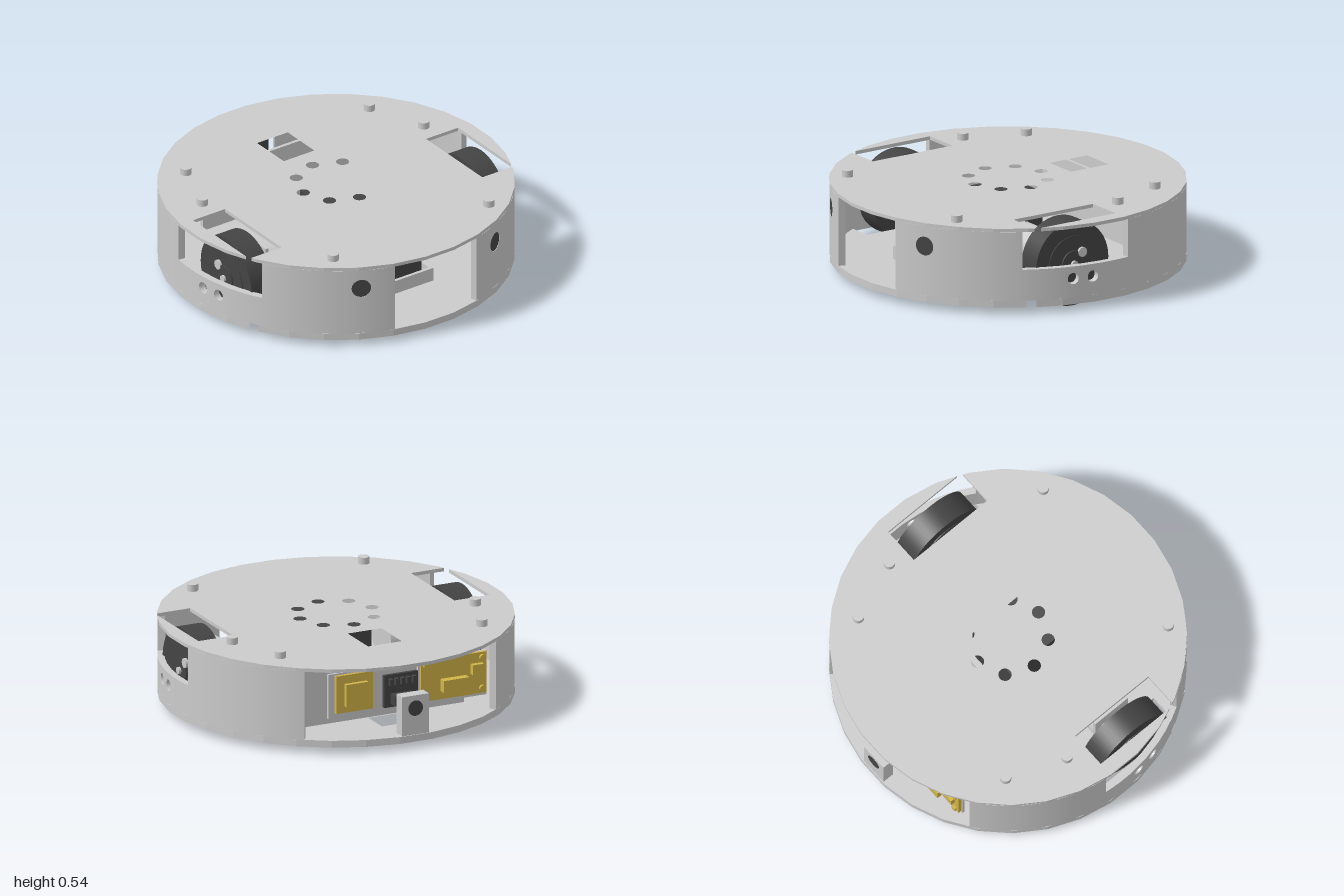
import * as THREE from 'three';

const grey = new THREE.MeshStandardMaterial({ color: 0xcccccc });
const dark = new THREE.MeshStandardMaterial({ color: 0x444444 });
const gold = new THREE.MeshStandardMaterial({ color: 0xd2b548 });

const R = 0.998, T = 0.04;

function add(parent, name, geo, mat = grey) {
  const m = new THREE.Mesh(geo, mat);
  m.name = name;
  parent.add(m);
  return m;
}

// Box given by its min and max corners
function box(parent, name, x0, x1, y0, y1, z0, z1, mat) {
  const m = add(parent, name, new THREE.BoxGeometry(x1 - x0, y1 - y0, z1 - z0), mat);
  m.position.set((x0 + x1) / 2, (y0 + y1) / 2, (z0 + z1) / 2);
  return m;
}

// Cylinder along one axis
function rod(parent, name, axis, r, len, x, y, z, mat, sides = 32) {
  const g = new THREE.CylinderGeometry(r, r, len, sides);
  if (axis === 'x') g.rotateZ(Math.PI / 2);
  if (axis === 'z') g.rotateX(Math.PI / 2);
  const m = add(parent, name, g, mat);
  m.position.set(x, y, z);
  return m;
}

// 32-sided deck whose wheel slots break through the rim at their front corner
function deck(slotOut, slotFront, holes, y0, y1) {
  const inX = 0.69, backZ = -0.1, rim = 0.997;
  const rimAt = v => Math.sqrt(rim * rim - v * v);
  const zP = rimAt(slotOut);
  const verts = [];
  for (let k = 0; k < 16; k++) {
    const a = (k + 0.5) * Math.PI / 16;
    verts.push([Math.sin(a), Math.cos(a)]);
  }
  const half = [
    ...verts.filter(p => p[1] > slotFront),
    [rimAt(slotFront), slotFront], [inX, slotFront], [inX, backZ], [slotOut, backZ], [slotOut, zP],
    ...verts.filter(p => p[1] < zP),
  ];
  const all = [...half, ...half.map(([x, z]) => [-x, z]).reverse()];
  const shape = new THREE.Shape(all.map(([x, z]) => new THREE.Vector2(x, z)));
  shape.holes.push(...holes);
  const g = new THREE.ExtrudeGeometry(shape, { depth: y1 - y0, bevelEnabled: false, curveSegments: 16 });
  return g.rotateX(Math.PI / 2).translate(0, y1, 0);
}

function rectHole(x0, x1, z0, z1) {
  return new THREE.Path([[x0, z0], [x0, z1], [x1, z1], [x1, z0]].map(p => new THREE.Vector2(...p)));
}

function roundHole(x, z, r) {
  return new THREE.Path().absarc(x, z, r, 0, Math.PI * 2, true);
}

// Piece of the wall: a flat panel, optionally with a round hole, bent to the ring
function wallPanel(a0, a1, y0, y1, holeY, holeR) {
  const mid = (a0 + a1) / 2, w = (a1 - a0) / 2 * R;
  const shape = new THREE.Shape([[-w, y0], [w, y0], [w, y1], [-w, y1]].map(p => new THREE.Vector2(...p)));
  if (holeR) shape.holes.push(roundHole(0, holeY, holeR));
  const g = new THREE.ExtrudeGeometry(shape, { depth: T, bevelEnabled: false, curveSegments: 16 });
  const p = g.attributes.position, n = g.attributes.normal;
  for (let i = 0; i < p.count; i++) {
    const a = mid + p.getX(i) / R, r = R - T + p.getZ(i);
    const s = Math.sin(a), c = Math.cos(a), nx = n.getX(i), nz = n.getZ(i);
    p.setXYZ(i, r * s, p.getY(i), r * c);
    n.setXYZ(i, nx * c + nz * s, n.getY(i), nz * c - nx * s);
  }
  return g;
}

// Spans on one side, as angles from the front: start, end, bottom, top, hole height, hole radius
const WALL = [
  [0.283, 0.41, 0.08, 0.48],
  [0.41, 0.546, 0.08, 0.48, 0.365, 0.055],
  [0.546, 1.047, 0.08, 0.48],
  [1.047, 1.278, 0.08, 0.26],
  [1.278, 1.4, 0.08, 0.26, 0.19, 0.033],
  [1.4, 1.521, 0.08, 0.26, 0.19, 0.033],
  [1.521, 1.7, 0.08, 0.26],
  [1.7, 2.498, 0.08, 0.48],
];

function buildWall(parent) {
  const wall = new THREE.Group();
  wall.name = 'outerWall';
  for (const s of [1, -1]) for (const [a0, a1, y0, y1, hy, hr] of WALL) {
    const n = hr ? 1 : Math.ceil((a1 - a0) / 0.1), d = (a1 - a0) / n;
    for (let i = 0; i < n; i++) {
      const b0 = a0 + i * d, b1 = b0 + d;
      add(wall, 'wallPanel', wallPanel(s > 0 ? b0 : -b1, s > 0 ? b1 : -b0, y0, y1, hy, hr));
    }
  }
  parent.add(wall);
}

// Wheel with hub, axle, motor and bracket
function buildDrive(parent, s) {
  const d = new THREE.Group();
  d.name = s > 0 ? 'leftDrive' : 'rightDrive';
  const y = 0.245, z = 0.17;
  rod(d, 'wheel', 'x', 0.245, 0.145, s * 0.803, y, z, dark, 48);
  rod(d, 'wheelFace', 'x', 0.16, 0.155, s * 0.803, y, z, dark, 40);
  rod(d, 'hub', 'x', 0.075, 0.175, s * 0.803, y, z, dark);
  rod(d, 'axle', 'x', 0.02, 0.23, s * 0.79, y, z, grey, 16);
  rod(d, 'wheelBolt', 'x', 0.028, 0.02, s * 0.885, 0.305, 0.11, grey, 20);
  box(d, 'motorBracket', s * 0.68 - 0.01, s * 0.68 + 0.01, 0.08, 0.42, 0.05, 0.29);
  rod(d, 'motor', 'x', 0.12, 0.3, s * 0.52, y, z, grey);
  for (const dy of [-0.06, 0.06]) for (const dz of [-0.06, 0.06])
    rod(d, 'bracketScrew', 'x', 0.022, 0.02, s * 0.7, y + dy, z + dz, grey, 12);
  parent.add(d);
}

function buildElectronics(parent) {
  const e = new THREE.Group();
  e.name = 'rearElectronics';
  box(e, 'bulkhead', -0.5, 0.5, 0.08, 0.44, -0.6, -0.58);
  // Small board with a chip carrier
  box(e, 'smallBoardPlate', 0.14, 0.45, 0.18, 0.44, -0.8, -0.785);
  box(e, 'smallBoard', 0.18, 0.41, 0.21, 0.43, -0.82, -0.8, gold);
  box(e, 'smallBoardChip', 0.22, 0.36, 0.25, 0.38, -0.845, -0.82, gold);
  // Dark module with pins
  box(e, 'module', -0.1, 0.11, 0.2, 0.39, -0.82, -0.8, dark);
  box(e, 'moduleSocket', -0.06, 0.07, 0.22, 0.28, -0.88, -0.82, dark);
  for (let i = 0; i < 5; i++)
    box(e, 'modulePin', -0.08 + i * 0.036, -0.06 + i * 0.036, 0.33, 0.37, -0.845, -0.82, dark);
  // Large board with connectors and corner screws
  box(e, 'largeBoardPlate', -0.54, -0.11, 0.18, 0.44, -0.8, -0.785);
  box(e, 'largeBoard', -0.53, -0.12, 0.2, 0.44, -0.82, -0.8, gold);
  box(e, 'largeBoardConnector', -0.4, -0.24, 0.25, 0.32, -0.865, -0.82, gold);
  box(e, 'largeBoardPort', -0.5, -0.43, 0.32, 0.38, -0.85, -0.82, gold);
  for (const x of [-0.5, -0.15]) for (const y of [0.23, 0.41])
    rod(e, 'boardScrew', 'z', 0.018, 0.02, x, y, -0.825, gold, 12);
  // Upright sensor block with lens
  box(e, 'sensorBlock', -0.083, 0.083, 0.08, 0.31, -0.99, -0.92);
  rod(e, 'sensorLens', 'z', 0.045, 0.08, 0, 0.235, -0.953, dark);
  parent.add(e);
}

function buildBattery(parent) {
  const b = new THREE.Group();
  b.name = 'batteryTray';
  box(b, 'trayBase', -0.22, 0.22, 0.08, 0.1, -0.17, 0.63);
  for (const s of [1, -1]) box(b, 'traySide', s * 0.21 - 0.01, s * 0.21 + 0.01, 0.1, 0.16, -0.17, 0.63);
  box(b, 'trayFront', -0.2, 0.2, 0.1, 0.16, 0.61, 0.63);
  box(b, 'trayBack', -0.2, 0.2, 0.1, 0.16, -0.17, -0.15);
  box(b, 'battery', -0.163, 0.163, 0.1, 0.44, -0.12, 0.595, dark);
  parent.add(b);
}

export function createModel() {
  const g = new THREE.Group();
  g.name = 'roundRobotBase';

  // Decks
  const ring = [...Array(8).keys()].map(i =>
    roundHole(0.225 * Math.sin(i * Math.PI / 4), 0.225 * Math.cos(i * Math.PI / 4), 0.037));
  add(g, 'topDeck', deck(0.91, 0.44, [...ring, rectHole(-0.105, 0.105, -0.61, -0.355)], 0.48, 0.5));
  add(g, 'bottomDeck', deck(0.9, 0.48, [
    rectHole(-0.105, 0.105, -0.78, -0.61),
    rectHole(-0.24, 0.24, -0.025, 0.025),
    rectHole(-0.24, 0.24, 0.435, 0.485),
  ], 0.04, 0.08));

  buildWall(g);
  buildBattery(g);
  buildElectronics(g);

  for (const s of [1, -1]) {
    buildDrive(g, s);
    // Locating pegs on the top deck
    for (const [x, z] of [[0.63, -0.56], [0.76, -0.22], [0.535, 0.72]])
      rod(g, 'topPeg', 'y', 0.032, 0.045, s * x, 0.517, z, grey, 24);
    // Front sensors set in the wall
    const a = s * 0.478;
    const m = rod(g, 'frontSensor', 'z', 0.055, 0.06, 0.965 * Math.sin(a), 0.365, 0.965 * Math.cos(a), dark);
    m.rotation.y = a;
  }
  return g;
}
